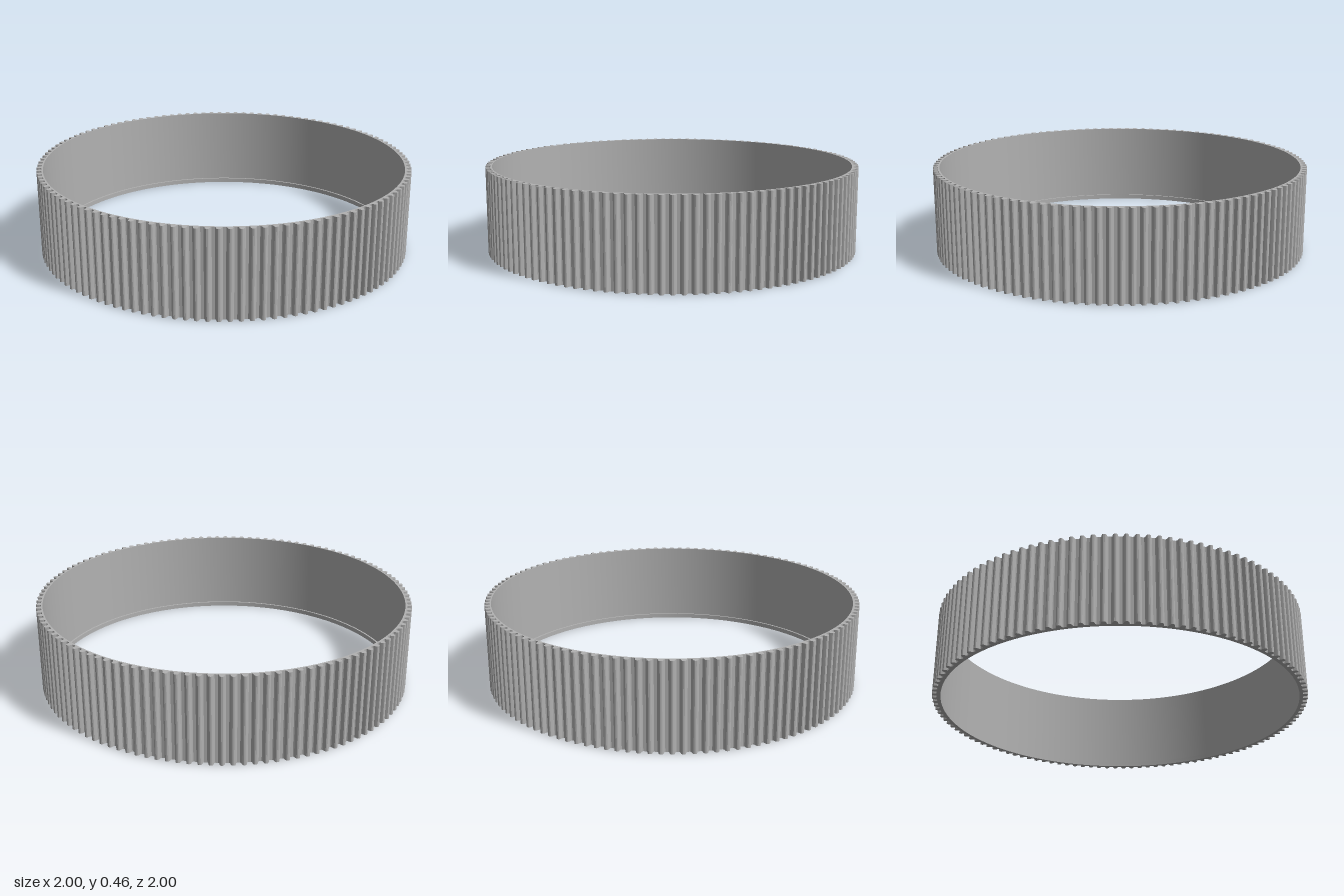
import * as THREE from 'three';
import { toCreasedNormals } from 'three/addons/utils/BufferGeometryUtils.js';

const TEETH = 120, HEIGHT = 0.46;
const ROOT = 0.974, BORE = 0.966, LIP = 0.956, LIP_HEIGHT = 0.025;

// One tooth as [fraction of pitch, radius]: flared foot, straight flank, rounded tip
const TOOTH = [
  [-0.36, ROOT], [-0.27, ROOT + 0.004], [-0.22, 0.991], [-0.17, 0.997], [-0.07, 1],
  [0.07, 1], [0.17, 0.997], [0.22, 0.991], [0.27, ROOT + 0.004], [0.36, ROOT],
];

export function createModel() {
  const group = new THREE.Group();
  const grey = new THREE.MeshStandardMaterial({ color: 0xb2b2b2 });
  grey.name = 'grey';

  // Toothed outline with a round bore
  const outline = [];
  for (let i = 0; i < TEETH; i++) {
    for (const [f, r] of TOOTH) {
      const a = ((i + f) / TEETH) * Math.PI * 2;
      outline.push(new THREE.Vector2(r * Math.cos(a), r * Math.sin(a)));
    }
  }
  const shape = new THREE.Shape(outline);
  const bore = new THREE.Path();
  bore.absarc(0, 0, BORE, 0, Math.PI * 2, true);
  shape.holes.push(bore);
  const ringGeometry = new THREE.ExtrudeGeometry(shape, {
    depth: HEIGHT, bevelEnabled: false, curveSegments: 120,
  });
  ringGeometry.rotateX(-Math.PI / 2);
  const ring = new THREE.Mesh(toCreasedNormals(ringGeometry, 0.5), grey);
  ring.name = 'toothedRing';
  group.add(ring);

  // Narrow lip around the bottom of the bore
  const profile = [
    [BORE + 0.002, 0], [BORE + 0.002, LIP_HEIGHT], [LIP, LIP_HEIGHT], [LIP, 0], [BORE + 0.002, 0],
  ].map(([r, y]) => new THREE.Vector2(r, y));
  const lipGeometry = new THREE.LatheGeometry(profile, 120);
  const lipMaterial = grey;
  lipMaterial.side = THREE.DoubleSide;
  const lip = new THREE.Mesh(toCreasedNormals(lipGeometry, 0.5), lipMaterial);
  lip.name = 'innerLip';
  group.add(lip);

  return group;
}
